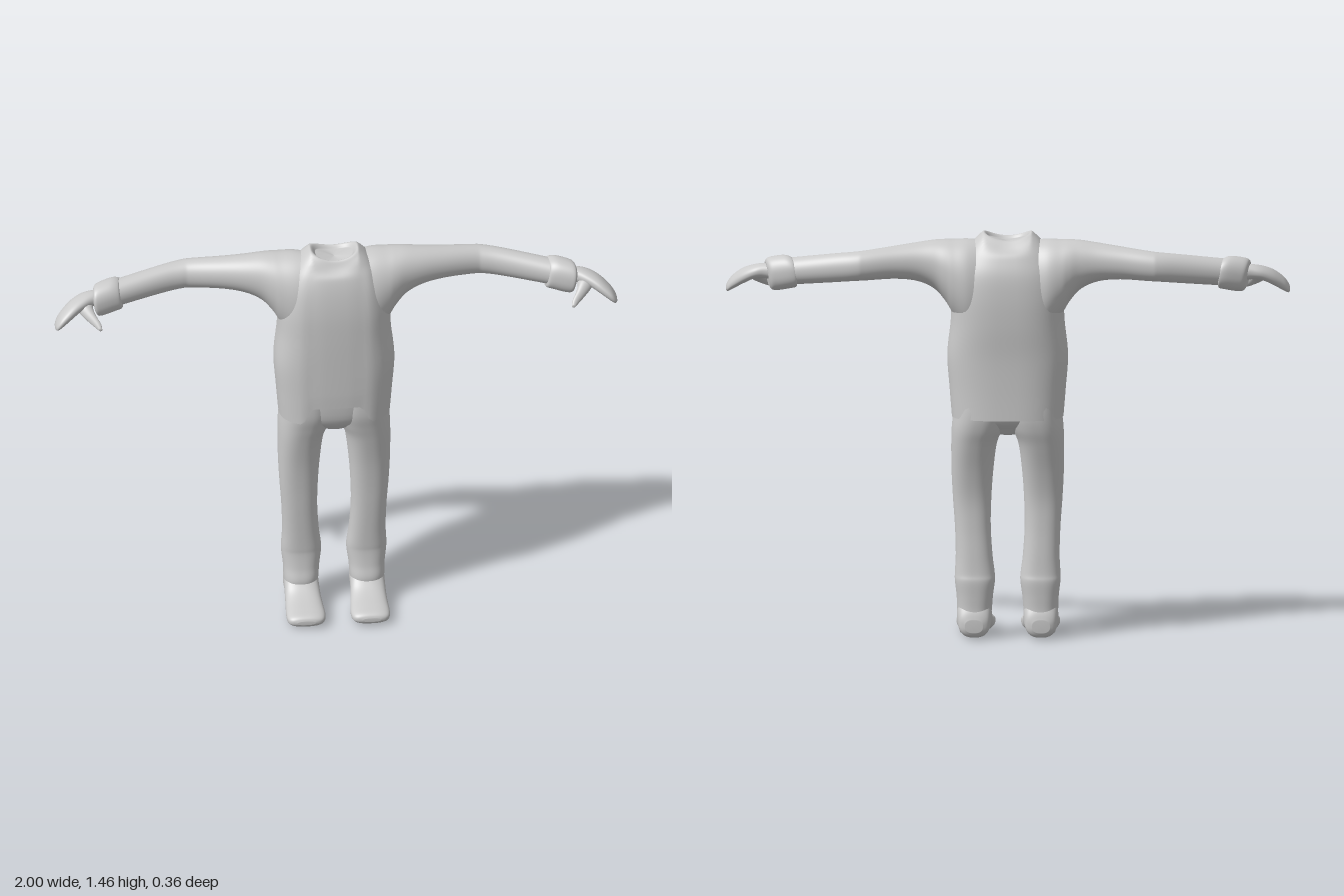
import * as THREE from 'three';

const material = new THREE.MeshStandardMaterial({ color: 0xcccccc, side: THREE.DoubleSide });
const SEG = 64;

// Smooth skin through rings [t, aMin, aMax, bMin, bMax]; place(t, a, b) gives the point.
function loft(rings, place, { power = 2, steps = 6, capStart = true, capEnd = true } = {}) {
  const all = [];
  for (let i = 0; i < rings.length - 1; i++) {
    const p = [rings[Math.max(i - 1, 0)], rings[i], rings[i + 1], rings[Math.min(i + 2, rings.length - 1)]];
    const last = i === rings.length - 2 ? steps : steps - 1;
    for (let s = 0; s <= last; s++) {
      const u = s / steps;
      all.push(p[1].map((_, k) => {
        const [a, b, c, d] = p.map((r) => r[k]);
        const m0 = (c - a) / 2, m1 = (d - b) / 2;
        return b + u * (m0 + u * (3 * (c - b) - 2 * m0 - m1 + u * (2 * (b - c) + m0 + m1)));
      }));
    }
  }
  const shrink = (r) => {
    const a = (r[1] + r[2]) / 2, b = (r[3] + r[4]) / 2;
    return [r[0], a, a, b, b];
  };
  if (capStart) all.unshift(shrink(all[0]));
  if (capEnd) all.push(shrink(all[all.length - 1]));

  const pos = [], index = [];
  const bend = (v) => Math.sign(v) * Math.pow(Math.abs(v), 2 / power);
  for (const [t, a0, a1, b0, b1] of all) {
    for (let j = 0; j < SEG; j++) {
      const ang = (j / SEG) * Math.PI * 2;
      const a = (a0 + a1) / 2 + ((a1 - a0) / 2) * bend(Math.cos(ang));
      const b = (b0 + b1) / 2 + ((b1 - b0) / 2) * bend(Math.sin(ang));
      pos.push(...place(t, a, b));
    }
  }
  for (let i = 0; i < all.length - 1; i++) {
    for (let j = 0; j < SEG; j++) {
      const k = (j + 1) % SEG, p = i * SEG, q = p + SEG;
      index.push(p + j, p + k, q + j, p + k, q + k, q + j);
    }
  }
  // turn the faces outward: the signed volume must be positive
  const mid = [0, 1, 2].map((c) => pos.reduce((s, v, i) => (i % 3 === c ? s + v : s), 0) / (pos.length / 3));
  const at = (i) => new THREE.Vector3(pos[3 * i] - mid[0], pos[3 * i + 1] - mid[1], pos[3 * i + 2] - mid[2]);
  let volume = 0;
  for (let i = 0; i < index.length; i += 3) {
    volume += at(index[i]).dot(at(index[i + 1]).cross(at(index[i + 2])));
  }
  if (volume < 0) index.reverse();
  const geo = new THREE.BufferGeometry();
  geo.setAttribute('position', new THREE.Float32BufferAttribute(pos, 3));
  geo.setIndex(index);
  geo.computeVertexNormals();
  return geo;
}

const smooth = THREE.MathUtils.smoothstep;

export function createModel() {
  const group = new THREE.Group();
  const add = (name, geo) => {
    const mesh = new THREE.Mesh(geo, material);
    mesh.name = name;
    group.add(mesh);
  };

  // jacket: cutaway front hem, shallow centre panel and a saddle-shaped collar
  add('jacket', loft([
    [0.80, -0.198, 0.198, -0.166, 0.098],
    [0.90, -0.206, 0.206, -0.165, 0.100],
    [1.02, -0.214, 0.214, -0.167, 0.101],
    [1.14, -0.202, 0.202, -0.175, 0.101],
    [1.24, -0.197, 0.197, -0.176, 0.098],
    [1.32, -0.182, 0.182, -0.168, 0.088],
    [1.38, -0.155, 0.155, -0.147, 0.072],
    [1.42, -0.128, 0.128, -0.125, 0.050],
    [1.45, -0.100, 0.100, -0.105, 0.030],
    [1.463, -0.082, 0.082, -0.090, 0.018],
    [1.452, -0.066, 0.066, -0.078, 0.008],
  ], (y, x, z) => {
    const front = smooth(z, 0.02, 0.06);
    const panel = 1 - smooth(Math.abs(x), 0.085, 0.125);
    const hem = Math.max(0, 0.92 - y) / 0.12;
    const dip = smooth(y, 1.38, 1.45) * 0.025 * Math.max(0, 1 - (x / 0.085) ** 2);
    return [x, y + hem * front * panel * 0.065 - dip, z - front * panel * 0.005];
  }, { power: 2.7, capStart: false }));

  // seat of the trousers, showing below the jacket opening
  add('pelvis', loft([
    [0.735, -0.035, 0.035, -0.075, 0.020],
    [0.755, -0.075, 0.075, -0.100, 0.045],
    [0.81, -0.165, 0.165, -0.145, 0.078],
    [0.95, -0.180, 0.180, -0.145, 0.088],
  ], (y, x, z) => [x, y, z], { power: 2.5 }));

  for (const [side, s] of [['left', 1], ['right', -1]]) {
    const alongX = (x, y, z) => [s * x, y, z];
    const alongY = (y, x, z) => [s * x, y, z];
    const alongZ = (z, x, y) => [s * x, y, z];

    // sleeve flaring into the shoulder, with a bend at the elbow
    add(side + 'Sleeve', loft([
      [0.08, 1.06, 1.43, -0.150, 0.070],
      [0.14, 1.10, 1.437, -0.162, 0.065],
      [0.19, 1.165, 1.436, -0.153, 0.050],
      [0.22, 1.215, 1.436, -0.143, 0.037],
      [0.26, 1.260, 1.434, -0.130, 0.020],
      [0.32, 1.288, 1.426, -0.124, 0.002],
      [0.40, 1.298, 1.415, -0.128, -0.020],
      [0.50, 1.295, 1.402, -0.140, -0.045],
      [0.54, 1.293, 1.397, -0.140, -0.047],
      [0.62, 1.285, 1.387, -0.122, -0.032],
      [0.79, 1.267, 1.362, -0.078, 0.016],
    ], alongX, { power: 2.1 }));

    // rolled cuff, sheared to follow the forearm
    add(side + 'Cuff', loft([
      [0.757, 1.272, 1.358, -0.080, 0.008],
      [0.762, 1.261, 1.368, -0.088, 0.016],
      [0.785, 1.255, 1.373, -0.087, 0.024],
      [0.825, 1.247, 1.366, -0.076, 0.034],
      [0.845, 1.248, 1.358, -0.068, 0.036],
      [0.853, 1.262, 1.346, -0.055, 0.025],
    ], (x, y, z) => [s * (x + 0.15 * (y - 1.31) - 0.15 * (z + 0.02) * -1), y, z], { power: 2.3 }));

    // mitten-like hand drooping at the fingertips
    add(side + 'Hand', loft([
      [0.82, 1.280, 1.335, -0.050, 0.010],
      [0.86, 1.287, 1.340, -0.043, 0.020],
      [0.90, 1.283, 1.333, -0.040, 0.042],
      [0.94, 1.262, 1.316, -0.025, 0.066],
      [0.975, 1.240, 1.288, -0.002, 0.080],
      [0.993, 1.230, 1.264, 0.015, 0.077],
      [1.0, 1.236, 1.247, 0.035, 0.062],
    ], alongX, { power: 2.2 }));

    add(side + 'Thumb', loft([
      [0.0, 0.860, 0.925, 1.285, 1.318],
      [0.03, 0.862, 0.915, 1.270, 1.312],
      [0.055, 0.853, 0.892, 1.257, 1.292],
      [0.08, 0.838, 0.864, 1.244, 1.268],
      [0.095, 0.836, 0.848, 1.240, 1.250],
    ], alongZ));

    // trouser leg running into the boot shaft
    add(side + 'Leg', loft([
      [0.02, 0.070, 0.168, -0.088, -0.005],
      [0.05, 0.062, 0.176, -0.098, 0.015],
      [0.10, 0.056, 0.179, -0.093, 0.026],
      [0.15, 0.052, 0.181, -0.094, 0.016],
      [0.205, 0.045, 0.187, -0.096, 0.010],
      [0.235, 0.046, 0.187, -0.091, 0.011],
      [0.30, 0.054, 0.184, -0.086, 0.015],
      [0.40, 0.060, 0.187, -0.080, 0.022],
      [0.50, 0.058, 0.194, -0.081, 0.029],
      [0.60, 0.051, 0.199, -0.099, 0.040],
      [0.70, 0.038, 0.200, -0.127, 0.058],
      [0.76, 0.015, 0.198, -0.145, 0.071],
      [0.82, 0.0, 0.192, -0.153, 0.083],
      [0.90, 0.0, 0.188, -0.150, 0.085],
    ], alongY, { power: 2.4 }));

    // boot foot from heel to rounded toe
    add(side + 'Boot', loft([
      [-0.102, 0.088, 0.150, 0.025, 0.070],
      [-0.090, 0.066, 0.170, 0.008, 0.105],
      [-0.060, 0.057, 0.179, 0.004, 0.150],
      [-0.025, 0.056, 0.179, 0.014, 0.140],
      [0.005, 0.055, 0.179, 0.012, 0.115],
      [0.04, 0.052, 0.180, 0.004, 0.084],
      [0.08, 0.048, 0.182, 0.001, 0.067],
      [0.13, 0.045, 0.184, 0.002, 0.058],
      [0.16, 0.050, 0.180, 0.006, 0.053],
      [0.174, 0.063, 0.168, 0.013, 0.046],
      [0.18, 0.085, 0.148, 0.022, 0.036],
    ], alongZ, { power: 2.5 }));
  }
  return group;
}
